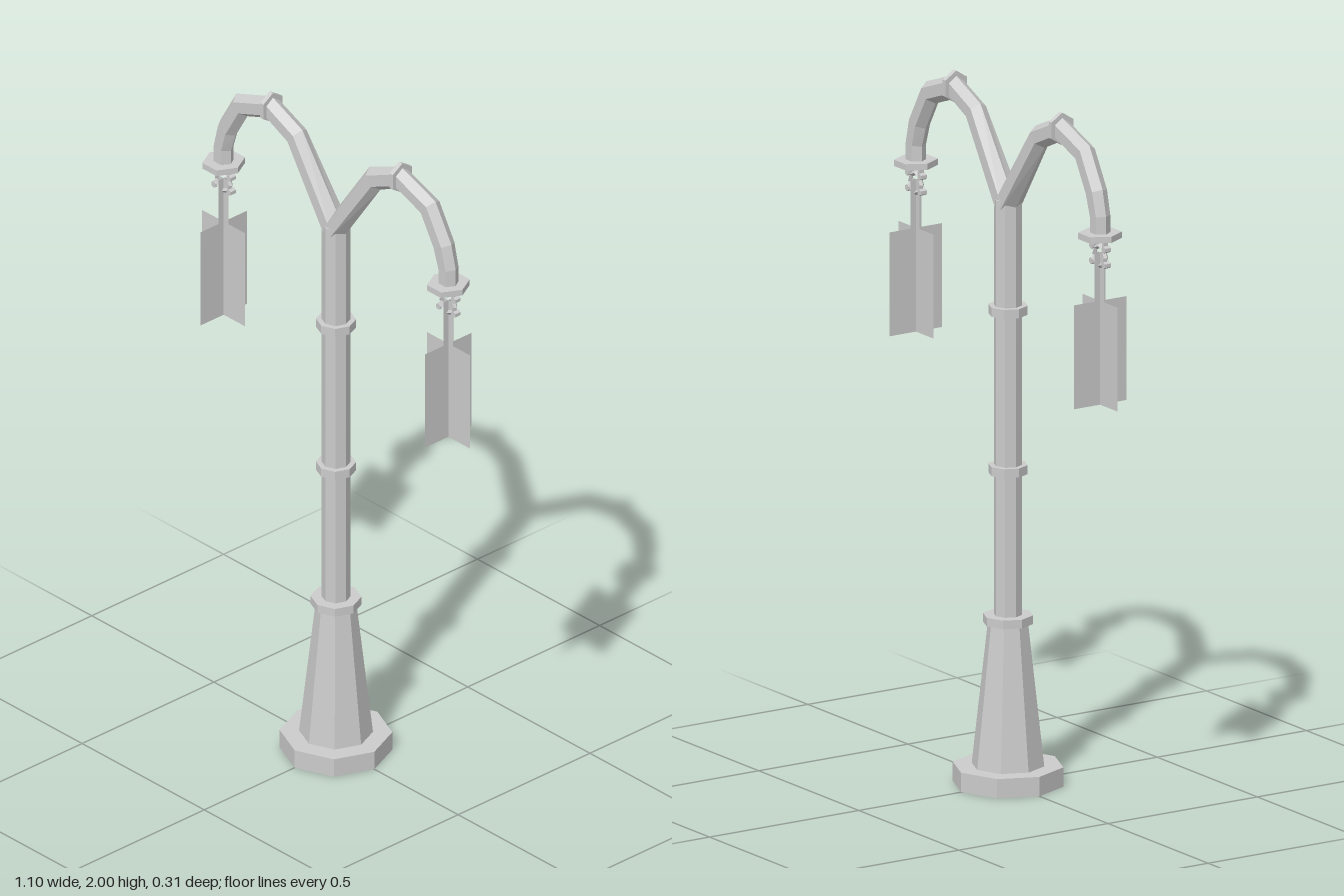
import * as THREE from 'three';

const metal = new THREE.MeshStandardMaterial({ color: 0xcccccc, flatShading: true });
const sheet = new THREE.MeshStandardMaterial({ color: 0xcccccc, flatShading: true, side: THREE.DoubleSide });

function add(parent, name, geometry, material = metal) {
  const mesh = new THREE.Mesh(geometry, material);
  mesh.name = name;
  parent.add(mesh);
  return mesh;
}

// Upright faceted drum between two heights
function drum(parent, name, rBottom, rTop, y0, y1, sides = 8) {
  const mesh = add(parent, name, new THREE.CylinderGeometry(rTop, rBottom, y1 - y0, sides));
  mesh.position.y = (y0 + y1) / 2;
  return mesh;
}

// Hexagonal tube swept along a path of [x, y, radius, depthRadius] in the xy plane, mitred at joints
function sweptHex(path) {
  const pos = [], idx = [], n = 6;
  const dir = (a, b) => new THREE.Vector2(b[0] - a[0], b[1] - a[1]).normalize();
  path.forEach((p, i) => {
    const before = dir(path[Math.max(i - 1, 0)], path[Math.max(i, 1)]);
    const last = path.length - 1;
    const after = dir(path[Math.min(i, last - 1)], path[Math.min(i + 1, last)]);
    const t = before.clone().add(after).normalize();
    const miter = 1 / t.dot(after);
    for (let k = 0; k < n; k++) {
      const a = (k / n) * Math.PI * 2;
      const u = Math.cos(a) * p[2] * miter;
      pos.push(p[0] - t.y * u, p[1] + t.x * u, Math.sin(a) * p[3]);
    }
  });
  for (let i = 0; i < path.length - 1; i++) {
    for (let k = 0; k < n; k++) {
      const a = i * n + k, b = i * n + (k + 1) % n;
      idx.push(a, b, b + n, a, b + n, a + n);
    }
  }
  const e = (path.length - 1) * n;
  for (let k = 1; k < n - 1; k++) idx.push(0, k + 1, k, e, e + k, e + k + 1);
  const g = new THREE.BufferGeometry();
  g.setAttribute('position', new THREE.Float32BufferAttribute(pos, 3));
  g.setIndex(idx);
  const flat = g.toNonIndexed();
  flat.computeVertexNormals();
  return flat;
}

// One curved arm with its hanging lamp, reaching towards +x
function createArm() {
  const arm = new THREE.Group();
  add(arm, 'curvedArm', sweptHex([
    [0, 1.675, 0.034, 0.04], [0.16, 1.905, 0.034, 0.03], [0.265, 1.952, 0.033, 0.029],
    [0.385, 1.908, 0.033, 0.029], [0.442, 1.81, 0.033, 0.029],
    [0.46, 1.745, 0.03, 0.028], [0.46, 1.685, 0.03, 0.028],
  ]));

  // Collar at the crown of the arm
  const collar = add(arm, 'armCollar', sweptHex([[0.258, 1.953, 0.047, 0.042], [0.272, 1.953, 0.047, 0.042]]));
  collar.name = 'armCollar';

  const lamp = new THREE.Group();
  lamp.name = 'hangingLamp';
  lamp.position.x = 0.46;
  arm.add(lamp);

  // Hexagonal flange closing the arm
  const flange = drum(lamp, 'flange', 0.058, 0.058, 1.68, 1.698, 6);
  flange.rotation.y = Math.PI / 2;
  flange.scale.x = 1.08;

  // Small hanger ring with knobs
  const ring = add(lamp, 'hangerRing', new THREE.TorusGeometry(0.029, 0.007, 4, 8));
  ring.position.y = 1.63;
  for (const sx of [-1, 1]) {
    for (const y of [1.655, 1.61]) {
      const knob = add(lamp, 'hangerKnob', new THREE.CylinderGeometry(0.01, 0.01, 0.02, 6));
      knob.rotation.x = Math.PI / 2;
      knob.position.set(sx * 0.031, y, 0);
    }
    const link = add(lamp, 'hangerLink', new THREE.BoxGeometry(0.01, 0.03, 0.014));
    link.position.set(sx * 0.024, 1.67, 0);
  }

  // Lamp made of two crossed sheets with a narrow neck
  const s = new THREE.Shape([
    [-0.088, 1.2], [0.088, 1.2], [0.088, 1.5], [0.019, 1.5],
    [0.019, 1.64], [-0.019, 1.64], [-0.019, 1.5], [-0.088, 1.5],
  ].map(([x, y]) => new THREE.Vector2(x, y)));
  for (const angle of [0, Math.PI / 2]) {
    add(lamp, 'lampSheet', new THREE.ShapeGeometry(s), sheet).rotation.y = angle;
  }
  return arm;
}

export function createModel() {
  const model = new THREE.Group();
  model.name = 'streetLamp';

  // Base and post
  drum(model, 'basePlate', 0.157, 0.157, 0, 0.056);
  drum(model, 'pedestal', 0.103, 0.057, 0.056, 0.468);
  drum(model, 'pedestalRing', 0.071, 0.071, 0.465, 0.49);
  drum(model, 'post', 0.04, 0.04, 0.48, 1.69);
  for (const y of [0.91, 1.37]) drum(model, 'postRing', 0.056, 0.056, y - 0.013, y + 0.013);

  // Two opposite arms
  for (const [name, angle] of [['leftArm', 0], ['rightArm', Math.PI]]) {
    const arm = createArm();
    arm.name = name;
    arm.rotation.y = angle;
    model.add(arm);
  }
  return model;
}
